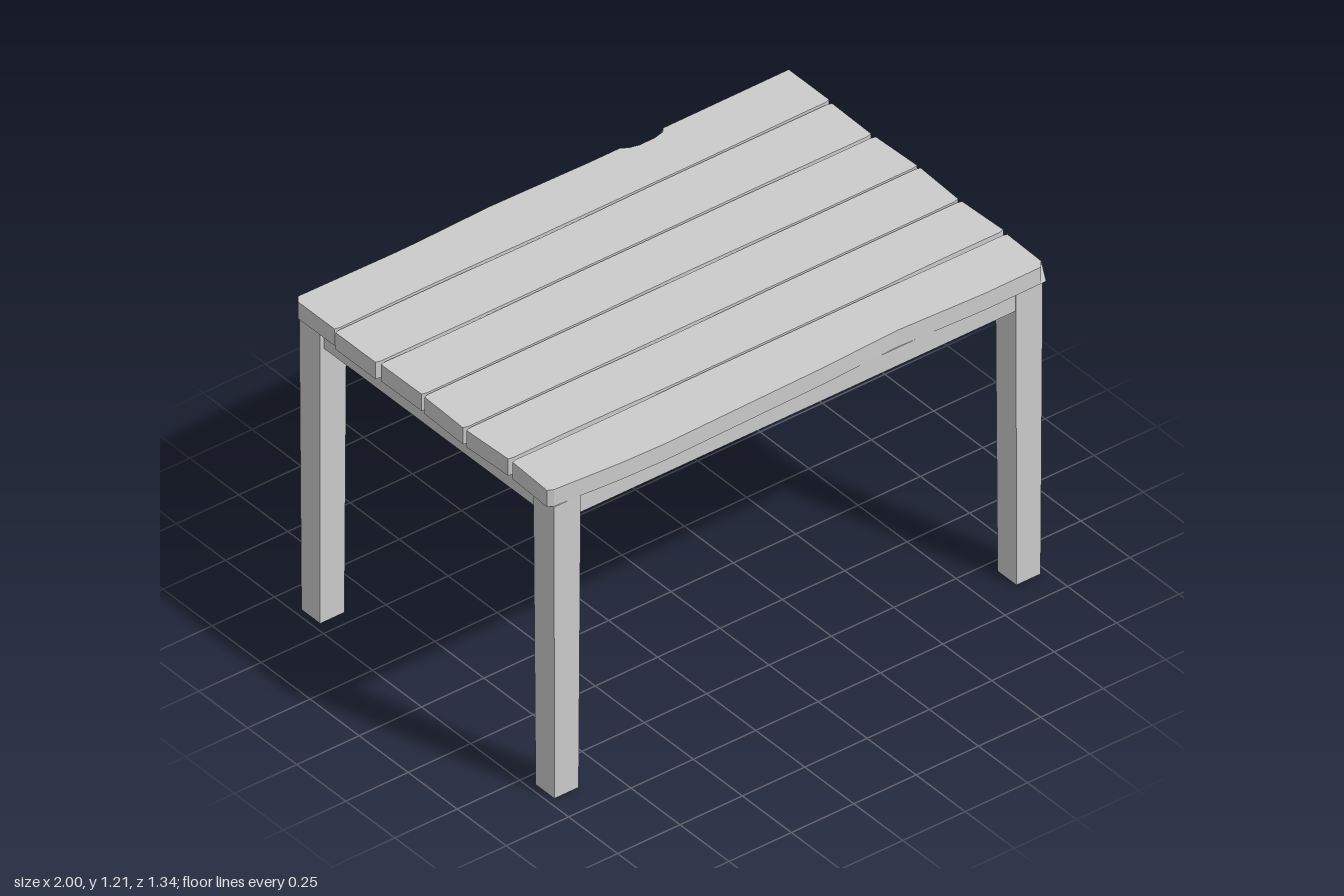
import * as THREE from 'three';

const material = new THREE.MeshStandardMaterial({ color: 0xcccccc, flatShading: true });
const TOP = 1.205, UNDER = 1.14, PLANKS = 6, PITCH = 0.2222;

// Piecewise-linear lookup in a short list of [x, value] pairs
function sample(points, x) {
  if (x <= points[0][0]) return points[0][1];
  for (let i = 1; i < points.length; i++) {
    const [x0, v0] = points[i - 1], [x1, v1] = points[i];
    if (x <= x1) return v0 + (v1 - v0) * (x - x0) / (x1 - x0);
  }
  return points[points.length - 1][1];
}

// Outer edges of the table top, and the chipped dent along the upper back edge
const backEdge = [[-1, -0.645], [-0.98, -0.668], [-0.55, -0.662], [-0.2, -0.673], [0.2, -0.665], [1, -0.668]];
const frontEdge = [[-1, 0.635], [-0.98, 0.646], [-0.72, 0.664], [-0.55, 0.669], [-0.3, 0.664],
  [0.1, 0.656], [0.4, 0.643], [0.75, 0.658], [1, 0.656]];
const chip = [[0.32, 0], [0.345, 0.016], [0.38, 0.025], [0.44, 0.025], [0.48, 0.016], [0.495, 0]];

// Shallow hollows worn into the inner edges
const wear = (x, phase) => 0.006 * Math.max(0, Math.sin(4 * x + phase)) * Math.sin(phase) ** 2;

// Plank skinned over cross-sections along x
function plankGeometry(i) {
  const first = i === 0, final = i === PLANKS - 1;
  const stations = [-0.98, 0.98];
  for (let k = -10; k <= 10; k++) stations.push(k / 10);
  if (first) stations.push(...chip.map(q => q[0]));
  if (final) stations.push(...frontEdge.slice(1, -1).map(q => q[0]));
  const ordered = [...new Set(stations)].sort((a, b) => a - b);

  const pos = [], index = [], n = 5;
  for (const s of ordered) {
    const corner = Math.abs(s) === 1 ? 0.005 : 0;
    const zb = first ? sample(backEdge, s) : -0.668 + PITCH * i + wear(s, i * 2.1) + corner;
    const zf = final ? sample(frontEdge, s) : -0.454 + PITCH * i - wear(s, i * 1.7 + 4) - corner;
    const xb = s * (0.993 + 0.005 * Math.sin(i * 2.3 + s));
    const xf = s * (0.993 + 0.005 * Math.sin(i * 3.1 + 2 * s));
    const cut = first ? sample(chip, s) : 0;
    const nick = final && s === 1 ? 0.025 : 0;
    pos.push(xf, TOP, zf - nick, xf, UNDER, zf, xb, UNDER, zb,
      xb, TOP - 0.002 - cut * 1.2, zb, xb, TOP, zb + cut);
  }
  const last = (ordered.length - 1) * n;
  for (let k = 0; k < last; k += n) {
    for (let j = 0; j < n; j++) {
      const a = k + j, b = k + (j + 1) % n;
      index.push(a, b, a + n, b, b + n, a + n);
    }
  }
  for (let j = 1; j < n - 1; j++) {
    index.push(0, j + 1, j, last, last + j, last + j + 1);
  }
  const g = new THREE.BufferGeometry();
  g.setAttribute('position', new THREE.Float32BufferAttribute(pos, 3));
  g.setIndex(index);
  const flat = g.toNonIndexed();
  flat.computeVertexNormals();
  return flat;
}

// Leg that thickens slightly from foot to top
function legGeometry() {
  const g = new THREE.BoxGeometry(0.097, UNDER, 0.096, 1, 2, 1);
  const pos = g.attributes.position;
  for (let i = 0; i < pos.count; i++) {
    const k = 1 + 0.1 * (pos.getY(i) / UNDER + 0.5);
    pos.setX(i, pos.getX(i) * k);
    pos.setZ(i, pos.getZ(i) * k);
  }
  g.computeVertexNormals();
  return g;
}

export function createModel() {
  const model = new THREE.Group();
  model.name = 'plankTable';
  const add = (name, geometry, x = 0, y = 0, z = 0) => {
    const mesh = new THREE.Mesh(geometry, material);
    mesh.name = name;
    mesh.position.set(x, y, z);
    model.add(mesh);
  };

  // Table top
  for (let i = 0; i < PLANKS; i++) add('plank' + (i + 1), plankGeometry(i));

  // Legs and the rails between them
  const leg = legGeometry();
  const longRail = new THREE.BoxGeometry(1.78, 0.07, 0.055);
  const shortRail = new THREE.BoxGeometry(0.055, 0.072, 1.12);
  for (const s of [-1, 1]) {
    const side = s > 0 ? 'Left' : 'Right';
    add('frontLeg' + side, leg, s * 0.926, UNDER / 2, 0.597);
    add('backLeg' + side, leg, s * 0.926, UNDER / 2, -0.597);
    add(s > 0 ? 'frontRail' : 'backRail', longRail, 0, UNDER - 0.035, s * 0.619);
    add('sideRail' + side, shortRail, s * 0.935, UNDER - 0.036, 0);
  }
  return model;
}
